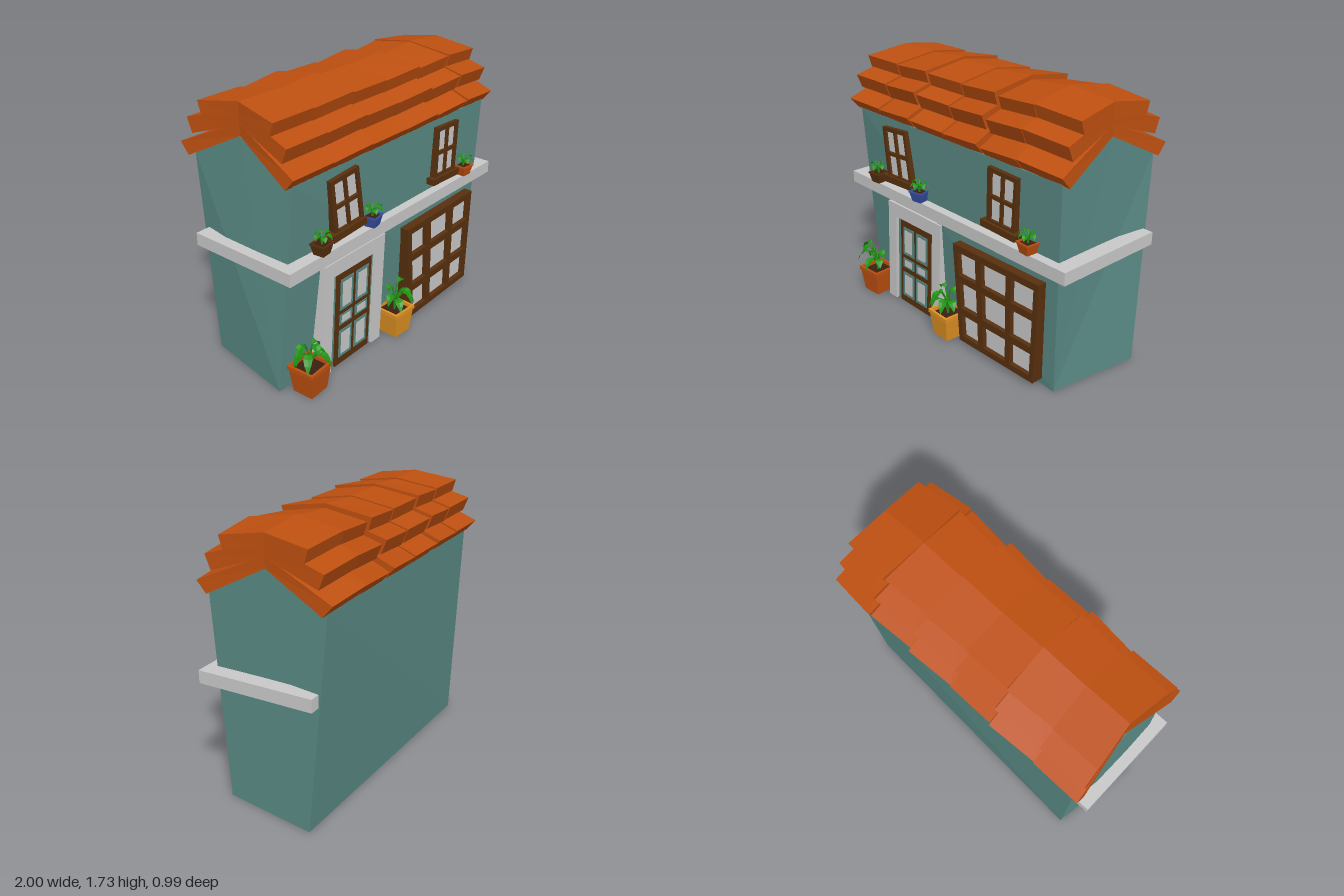
import * as THREE from 'three';

const mat = (name, color, side = THREE.FrontSide) => {
  const m = new THREE.MeshStandardMaterial({ color, side, flatShading: true });
  m.name = name;
  return m;
};

export function createModel() {
  const wall = mat('teal wall', 0x5a8a85);
  const stone = mat('pale grey', 0xc8c8c8);
  const tileMat = mat('terracotta', 0xbd4f10);
  const wood = mat('dark wood', 0x58300f);
  const ochre = mat('ochre pot', 0xdf9124);
  const blue = mat('blue pot', 0x3850a2);
  const soil = mat('soil', 0x3a2010);
  const green = mat('leaf green', 0x1f9212, THREE.DoubleSide);

  const root = new THREE.Group();
  root.name = 'townhouse';
  const add = (name, geo, material, parent = root) => {
    const m = new THREE.Mesh(geo, material);
    m.name = name;
    parent.add(m);
    return m;
  };
  const group = (name) => {
    const g = new THREE.Group();
    g.name = name;
    root.add(g);
    return g;
  };
  const lerp = THREE.MathUtils.lerp;

  // Solid between two end loops: A on the -x end, B on the +x end
  const loft = (A, B) => {
    const n = A.length, index = [];
    for (let i = 0; i < n; i++) {
      const j = (i + 1) % n;
      index.push(i, j, n + j, i, n + j, n + i);
      if (i > 0 && j > 0) index.push(n, n + i, n + j, 0, j, i);
    }
    const g = new THREE.BufferGeometry();
    g.setAttribute('position', new THREE.Float32BufferAttribute([...A, ...B].flat(), 3));
    g.setIndex(index);
    const flat = g.toNonIndexed();
    flat.computeVertexNormals();
    return flat;
  };

  // Leaning house body with gable ends
  add('houseBody', loft(
    [[-0.96, 0, 0.225], [-0.87, 0, -0.38], [-0.91, 1.335, -0.415], [-0.91, 1.52, -0.04], [-0.91, 1.335, 0.34]],
    [[0.87, 0, 0.3], [0.96, 0, -0.305], [0.92, 1.335, -0.415], [0.92, 1.52, -0.04], [0.92, 1.335, 0.34]]
  ), wall);

  // Ledge round the front and both sides
  const box = (name, x0, x1, y0, y1, z0, z1, m, parent) => {
    const g = new THREE.BoxGeometry(x1 - x0, y1 - y0, z1 - z0);
    g.translate((x0 + x1) / 2, (y0 + y1) / 2, (z0 + z1) / 2);
    return add(name, g, m, parent);
  };
  const ledge = group('ledge');
  box('ledgeFront', -1, 1, 0.79, 0.87, 0.28, 0.385, stone, ledge);
  for (const s of [-1, 1])
    box('ledgeSide', s < 0 ? -1 : 0.9, s < 0 ? -0.9 : 1, 0.79, 0.87, -0.36, 0.28, stone, ledge);

  // Roof: three layers of six bent slabs, each a little askew
  const roof = group('roof');
  const ridgeX = [-0.905, -0.605, -0.3, 0, 0.305, 0.605, 0.92];
  const eaveX = [[-0.96, -0.64], [-0.65, -0.32], [-0.31, 0], [0, 0.315], [0.32, 0.63], [0.64, 0.96]];
  const lifts = [[0, 0], [-0.01, 0.015], [0, 0], [-0.008, 0.015], [-0.012, 0.012], [0.018, -0.008]];
  const layers = [
    { out: [0.435, 1.4], low: [0.375, 1.33], top: 1.59, under: 1.52, sx: 1 },
    { out: [0.38, 1.553], low: [0.345, 1.465], top: 1.665, under: 1.58, sx: 0.985 },
    { out: [0.285, 1.668], low: [0.262, 1.59], top: 1.713, under: 1.635, sx: 0.98 },
  ];
  for (const { out, low, top, under, sx } of layers)
    for (let i = 0; i < 6; i++) {
      const end = (k) => {
        const d = lifts[i][k], xe = eaveX[i][k] * sx, xr = ridgeX[i + k], zc = -0.04;
        return [[xr, under + d, zc], [xe, low[1] + d, zc - low[0] - d], [xe, out[1] + d, zc - out[0] - d],
          [xr, top + d, zc], [xe, out[1] + d, zc + out[0] + d], [xe, low[1] + d, zc + low[0] + d]];
      };
      add('roofTile', loft(end(0), end(1)), tileMat, roof);
    }

  // Flat work inside a crooked quad; corners run BL, BR, TR, TL, rects are [u0, v0, u1, v1]
  const quadShape = ([a, b, c, d], [u0, v0, u1, v1], cls = THREE.Shape) => {
    const p = (u, v) => new THREE.Vector2(
      lerp(lerp(a[0], b[0], u), lerp(d[0], c[0], u), v),
      lerp(lerp(a[1], b[1], u), lerp(d[1], c[1], u), v));
    return new cls([p(u0, v0), p(u1, v0), p(u1, v1), p(u0, v1)]);
  };
  const FULL = [0, 0, 1, 1];
  const slab = (shape, z0, z1) =>
    new THREE.ExtrudeGeometry(shape, { depth: z1 - z0, bevelEnabled: false }).translate(0, 0, z0);
  const plate = (name, corners, rect, z0, z1, m, parent) =>
    add(name, slab(quadShape(corners, rect), z0, z1), m, parent);

  // Window: a pierced wooden frame with one pane behind
  const makeWindow = (name, corners, cols, rows, z0, z1, zPane) => {
    const g = group(name);
    const frame = quadShape(corners, FULL);
    for (const [u0, u1] of cols)
      for (const [v0, v1] of rows) frame.holes.push(quadShape(corners, [u0, v0, u1, v1], THREE.Path));
    add('windowFrame', slab(frame, z0, z1), wood, g);
    plate('windowPane', corners, [0.03, 0.03, 0.97, 0.97], zPane - 0.006, zPane, stone, g);
    return g;
  };
  makeWindow('shopWindow', [[0.115, 0.03], [0.775, 0.045], [0.805, 0.71], [0.065, 0.7]],
    [[0.055, 0.275], [0.345, 0.64], [0.7, 0.95]], [[0.06, 0.29], [0.36, 0.63], [0.7, 0.935]], 0.25, 0.38, 0.35);
  const upperCols = [[0.12, 0.47], [0.55, 0.9]], upperRows = [[0.04, 0.44], [0.51, 0.92]];
  const left = makeWindow('upperWindowA', [[-0.61, 0.945], [-0.355, 0.955], [-0.405, 1.295], [-0.645, 1.275]],
    upperCols, upperRows, 0.31, 0.367, 0.35);
  plate('windowSill', [[-0.64, 0.905], [-0.35, 0.92], [-0.355, 0.962], [-0.645, 0.95]], FULL, 0.31, 0.385, wood, left);
  const right = makeWindow('upperWindowB', [[0.36, 0.955], [0.59, 0.95], [0.61, 1.28], [0.37, 1.29]],
    upperCols, upperRows, 0.31, 0.367, 0.35);
  plate('windowSill', [[0.325, 0.915], [0.61, 0.905], [0.62, 0.945], [0.325, 0.957]], FULL, 0.31, 0.385, wood, right);

  // Doorway: stone surround, wooden door, six teal panels with pale insets
  const doorway = group('doorway');
  const surround = new THREE.Shape([[-0.71, 0], [-0.63, 0], [-0.585, 0.645], [-0.2, 0.645], [-0.24, 0],
    [-0.155, 0], [-0.11, 0.74], [-0.665, 0.74]].map(p => new THREE.Vector2(...p)));
  add('doorSurround', slab(surround, 0.2, 0.335), stone, doorway);
  const door = [[-0.585, 0.005], [-0.265, 0.005], [-0.23, 0.635], [-0.545, 0.635]];
  plate('doorLeaf', door, FULL, 0.2, 0.325, wood, doorway);
  // Wall showing between door and surround
  plate('doorReveal', [[-0.63, 0], [-0.24, 0], [-0.2, 0.645], [-0.585, 0.645]], FULL, 0.2, 0.312, wall, doorway);
  for (const [u0, u1] of [[0.09, 0.46], [0.54, 0.91]])
    for (const [v0, v1, inset] of [[0.08, 0.38, 0.035], [0.44, 0.555, 0.022], [0.6, 0.93, 0.035]]) {
      plate('doorPanel', door, [u0, v0, u1, v1], 0.325, 0.328, wall, doorway);
      plate('doorGlass', door, [u0 + 0.06, v0 + inset, u1 - 0.06, v1 - inset], 0.328, 0.331, stone, doorway);
    }

  // Drooping pointed leaf on an arched stem
  const V = (x, y, z) => new THREE.Vector3(x, y, z);
  const addLeaf = (parent, angle, reach, height, droop, width) => {
    const dir = V(Math.sin(angle), 0, Math.cos(angle));
    const at = (r, y) => dir.clone().multiplyScalar(r).setY(y);
    const mid = at(reach * 0.35, height * 0.9);
    const stem = new THREE.QuadraticBezierCurve3(V(0, -0.02, 0), at(reach * 0.08, height * 0.7), mid);
    add('stem', new THREE.TubeGeometry(stem, 4, width * 0.12, 4), green, parent);
    const spine = new THREE.QuadraticBezierCurve3(mid, at(reach * 0.75, height * 1.12), at(reach, height - droop));
    const side = V(dir.z, 0, -dir.x), pos = [], index = [];
    [0.1, 0.8, 1, 0.7, 0].forEach((w, i) => {
      const c = spine.getPoint(i / 4), s = side.clone().multiplyScalar(w * width / 2);
      const edge = c.clone().setY(c.y + w * width * 0.12);
      pos.push(...edge.clone().sub(s).toArray(), ...c.toArray(), ...edge.add(s).toArray());
      if (i) for (const k of [0, 1]) {
        const a = (i - 1) * 3 + k;
        index.push(a, a + 3, a + 1, a + 1, a + 3, a + 4);
      }
    });
    const g = new THREE.BufferGeometry();
    g.setAttribute('position', new THREE.Float32BufferAttribute(pos, 3));
    g.setIndex(index);
    g.computeVertexNormals();
    add('leaf', g, green, parent);
  };

  // Tapered square pot with a rim, soil and leaves [angle, reach, height, droop]
  const pottedPlant = (name, x, y, z, rTop, rBottom, h, m, turn, leafWidth, leaves) => {
    const g = group(name);
    g.position.set(x, y, z);
    const q = Math.SQRT2, rim = h * 0.14;
    const ring = [[0, 0], [rBottom, 0], [rTop * 0.93, h - rim], [rTop, h - rim], [rTop, h], [rTop * 0.82, h],
      [rTop * 0.8, h * 0.85]].map(([r, v]) => new THREE.Vector2(r * q, v));
    const pot = add('pot', new THREE.LatheGeometry(ring, 4, Math.PI / 4).toNonIndexed(), m, g);
    const earth = add('potSoil', new THREE.CircleGeometry(rTop * 0.82 * q, 4, Math.PI / 4).rotateX(-Math.PI / 2), soil, g);
    earth.position.y = h * 0.87;
    pot.rotation.y = earth.rotation.y = turn;
    const plant = new THREE.Group();
    plant.name = 'plant';
    plant.position.y = h * 0.9;
    g.add(plant);
    for (const l of leaves) addLeaf(plant, ...l, leafWidth);
  };
  pottedPlant('floorPlantA', -0.825, 0, 0.345, 0.094, 0.07, 0.18, tileMat, 0.06, 0.055, [
    [-1.4, 0.14, 0.2, 0.12], [-0.9, 0.15, 0.14, 0.1], [-0.3, 0.11, 0.19, 0.06], [0.3, 0.14, 0.11, 0.07],
    [1.1, 0.11, 0.1, 0.05], [-1.7, 0.12, 0.12, 0.08], [1.5, 0.08, 0.16, 0.06]]);
  pottedPlant('floorPlantB', -0.025, 0, 0.355, 0.092, 0.07, 0.18, ochre, -0.04, 0.055, [
    [-1.3, 0.11, 0.14, 0.07], [-0.6, 0.13, 0.11, 0.07], [0, 0.14, 0.18, 0.1], [0.5, 0.13, 0.13, 0.08],
    [1.2, 0.12, 0.12, 0.06], [1.5, 0.08, 0.2, 0.03], [-1.6, 0.07, 0.19, 0.04]]);
  const small = [[-1.4, 0.065, 0.07, 0.025], [-0.5, 0.06, 0.055, 0.025], [0.4, 0.065, 0.06, 0.03],
    [1.3, 0.07, 0.065, 0.025], [2.4, 0.04, 0.07, 0.02], [-2.4, 0.04, 0.07, 0.02]];
  pottedPlant('ledgePlantA', -0.72, 0.87, 0.362, 0.05, 0.034, 0.07, wood, 0.1, 0.038, small);
  pottedPlant('ledgePlantB', -0.275, 0.87, 0.362, 0.05, 0.034, 0.07, blue, 0.2, 0.04, small);
  pottedPlant('ledgePlantC', 0.7, 0.87, 0.362, 0.05, 0.034, 0.07, tileMat, -0.08, 0.036, small);

  return root;
}
